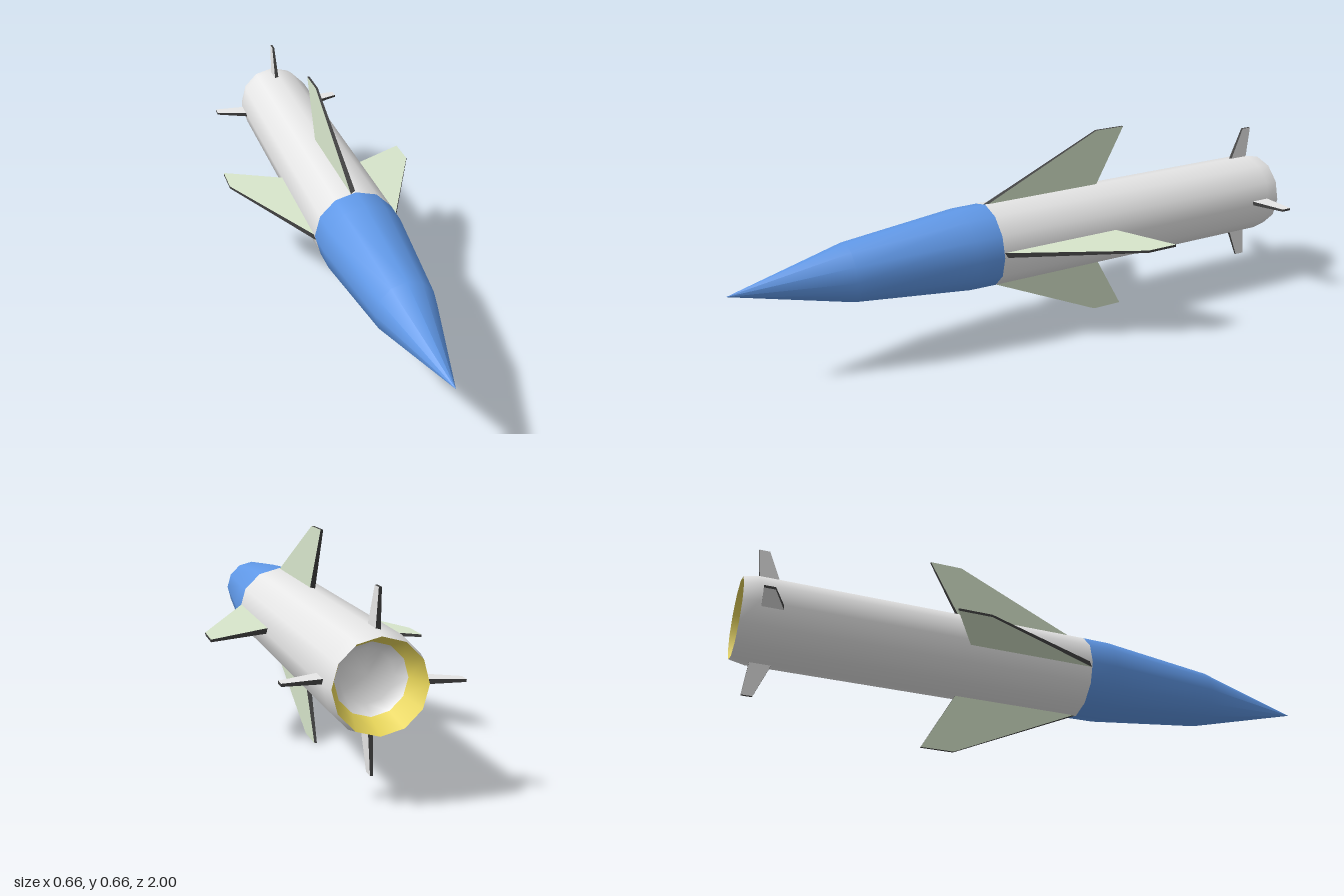
import * as THREE from 'three';

const SIDES = 12;
const AXIS_Y = 0.33;

function mat(name, color, side = THREE.FrontSide) {
  const m = new THREE.MeshStandardMaterial({ color, side });
  m.name = name;
  return m;
}

// Surface of revolution about z; profile points are [radius, z].
// Rising z faces outward, falling z faces inward.
function revolve(name, profile, material) {
  const g = new THREE.LatheGeometry(profile.map(([r, z]) => new THREE.Vector2(r, z)), SIDES);
  g.rotateX(Math.PI / 2);
  const mesh = new THREE.Mesh(g, material);
  mesh.name = name;
  return mesh;
}

// Upright tapered fin; outline is four [radius, z] points running
// root front, tip front, tip back, root back.
function finGeometry(outline, rootThick, tipThick, offset) {
  const halves = [rootThick / 2, tipThick / 2, tipThick / 2, rootThick / 2];
  const at = (i, s) => [offset + s * halves[i], outline[i][0], outline[i][1]];
  const pos = [];
  const quad = (a, b, c, d) => pos.push(...a, ...b, ...c, ...a, ...c, ...d);
  quad(at(0, 1), at(1, 1), at(2, 1), at(3, 1));
  quad(at(3, -1), at(2, -1), at(1, -1), at(0, -1));
  for (let i = 0; i < 4; i++) {
    const j = (i + 1) % 4;
    quad(at(j, 1), at(i, 1), at(i, -1), at(j, -1));
  }
  // Wind every face outward: +x side must run front, back, tip order
  for (let i = 0; i < pos.length; i += 9) {
    const [a, b, c] = [0, 3, 6].map((k) => new THREE.Vector3().fromArray(pos, i + k));
    const normal = b.clone().sub(a).cross(c.clone().sub(a));
    const centre = new THREE.Vector3(offset, 0, 0);
    outline.forEach(([r, z]) => centre.add(new THREE.Vector3(0, r / 4, z / 4)));
    if (normal.dot(a.clone().add(b).add(c).divideScalar(3).sub(centre)) < 0) {
      b.toArray(pos, i + 6);
      c.toArray(pos, i + 3);
    }
  }
  const g = new THREE.BufferGeometry();
  g.setAttribute('position', new THREE.Float32BufferAttribute(pos, 3));
  g.computeVertexNormals();
  g.addGroup(0, 12, 0); // broad faces
  g.addGroup(12, 24, 1); // thin edges
  return g;
}

export function createModel() {
  const blue = mat('blue', 0x619aea);
  const grey = mat('light grey', 0xe6e6e6);
  const green = mat('pale green', 0xd7e5cb);
  const dark = mat('dark edge', 0x414141);
  const yellow = mat('nozzle yellow', 0xeedb5c);

  const model = new THREE.Group();
  model.name = 'rocket';
  const rocket = new THREE.Group();
  rocket.name = 'airframe';
  rocket.position.y = AXIS_Y;
  model.add(rocket);

  // Nose cone and body
  rocket.add(revolve('noseCone', [[0.139, 0.137], [0.138, 0.23], [0.096, 0.62], [0, 1]], blue));
  rocket.add(revolve('body', [[0.129, -1], [0.139, -0.95], [0.139, 0.137]], grey));

  // Hollow nozzle with a recessed grey throat
  rocket.add(revolve('nozzle', [[0.1, -0.92], [0.129, -1]], yellow));
  rocket.add(revolve('nozzleThroat', [[0, -0.88], [0.075, -0.88], [0.1, -0.92]], grey));

  // Four wings and four tail fins, set in a slight pinwheel
  const wing = finGeometry([[0.134, 0.137], [0.329, -0.288], [0.329, -0.396], [0.134, -0.288]], 0.017, 0.008, -0.008);
  const tail = finGeometry([[0.13, -0.876], [0.246, -0.923], [0.246, -0.957], [0.13, -0.944]], 0.014, 0.008, -0.008);
  for (let i = 0; i < 4; i++) {
    const w = new THREE.Mesh(wing, [green, dark]);
    const t = new THREE.Mesh(tail, [grey, dark]);
    w.name = 'wing';
    t.name = 'tailFin';
    w.rotation.z = t.rotation.z = (i * Math.PI) / 2;
    rocket.add(w, t);
  }
  return model;
}
